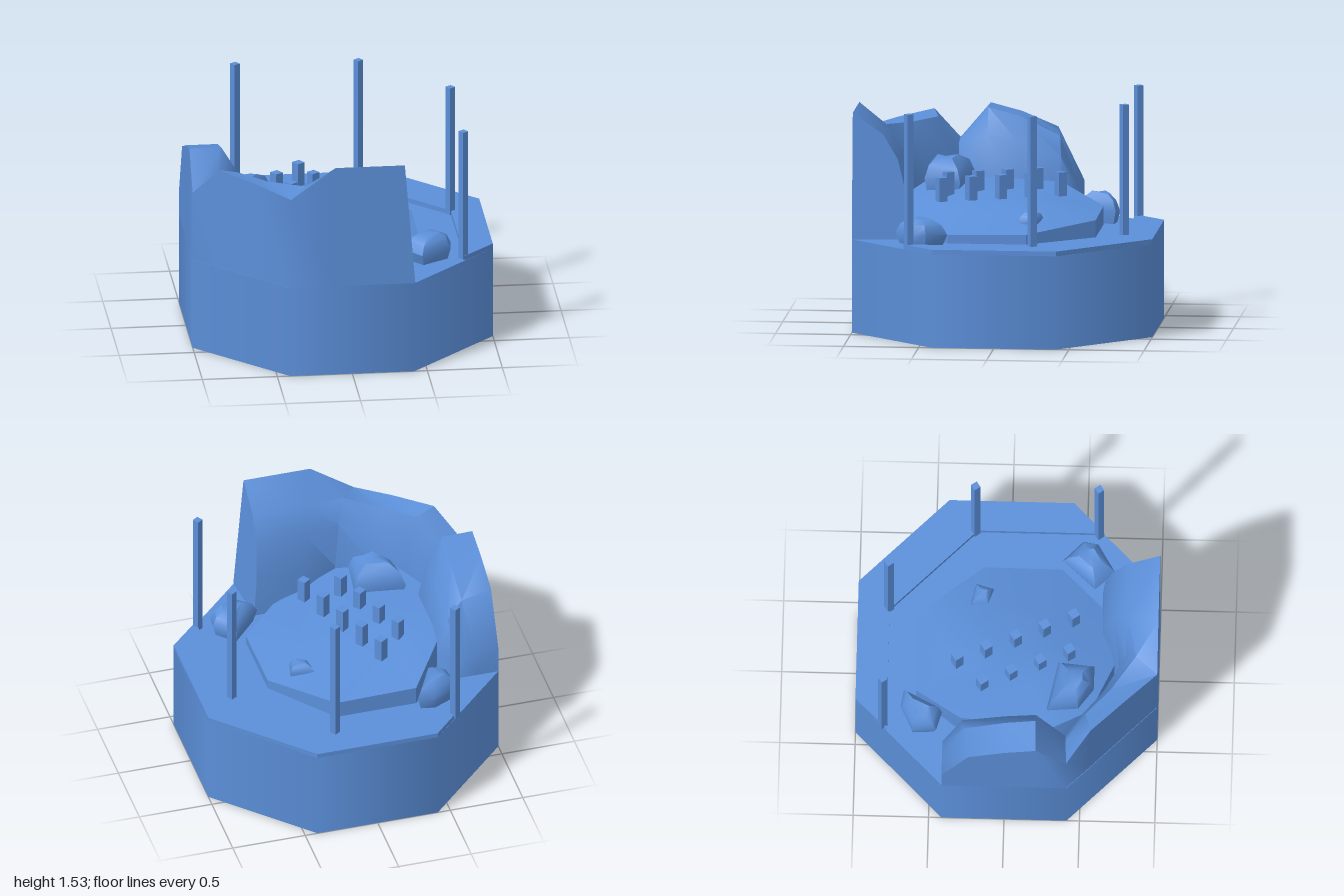
import * as THREE from 'three';
import { toCreasedNormals } from 'three/addons/utils/BufferGeometryUtils.js';

const FLOOR = 0.625;
const material = new THREE.MeshStandardMaterial({ color: 0x5b8fd9, side: THREE.DoubleSide });

function part(geometry, name, parent) {
  const mesh = new THREE.Mesh(geometry, material);
  mesh.name = name;
  parent.add(mesh);
  return mesh;
}

// Skin a surface over rows of points; closed joins the last point of a row to its first.
function loft(rows, closed, crease) {
  const n = rows[0].length, pos = [];
  const tri = (a, b, c) => {
    if (a.distanceTo(b) > 1e-6 && b.distanceTo(c) > 1e-6 && c.distanceTo(a) > 1e-6) {
      for (const p of [a, b, c]) pos.push(p.x, p.y, p.z);
    }
  };
  for (let i = 0; i < rows.length - 1; i++) {
    for (let j = 0; j < (closed ? n : n - 1); j++) {
      const k = (j + 1) % n;
      const a = rows[i][j], b = rows[i][k], c = rows[i + 1][k], d = rows[i + 1][j];
      tri(a, b, c);
      tri(a, c, d);
    }
  }
  const g = new THREE.BufferGeometry();
  g.setAttribute('position', new THREE.Float32BufferAttribute(pos, 3));
  return toCreasedNormals(g, crease);
}

const centre = (pts) => pts.reduce((s, p) => s.add(p), new THREE.Vector3()).divideScalar(pts.length);
const collapse = (pts, p) => pts.map(() => p.clone());

// Cliff: each station has outer x, z, crest height, foot x, z, shoulder level and sideways lean
function cliffGeometry() {
  const stations = [
    [0.42, 1, 1.465, 0.385, 0.62, 0.83, -0.07],
    [-0.11, 1, 1.465, 0.05, 0.62, 0.83, 0],
    [-0.41, 1, 1.25, -0.2, 0.73, 1.06, 0],
    [-0.62, 0.79, 1.29, -0.45, 0.61, 0.97, 0],
    [-0.84, 0.57, 1.315, -0.6, 0.5, 0.95, 0],
    [-1, 0.41, 1.1, -0.7, 0.4, 1, 0],
    [-1, 0.21, 1.335, -0.6, 0.2, 1, 0],
    [-1, 0, 1.28, -0.6, 0, 1, 0],
    [-1, -0.24, 1.18, -0.6, -0.3, 0.95, 0],
    [-1, -0.415, 0.82, -0.7, -0.415, 0.95, 0],
  ];
  const rows = stations.map(([ox, oz, h, fx, fz, shoulder, lean]) =>
    [[0, 0], [0, 1], [0.53, shoulder], [0.79, shoulder * 0.76], [0.96, 0.32], [1, 0]].map(([t, v]) =>
      new THREE.Vector3(ox + (fx - ox) * t + lean * v, FLOOR + (h - FLOOR) * v, oz + (fz - oz) * t)));
  const end = (r) => collapse(r, r[0].clone().lerp(r[r.length - 1], 0.5));
  return loft([end(rows[0]), ...rows, end(rows[rows.length - 1])], false, 0.8);
}

// Rock: a footprint outline bulging out, then drawing in to a blunt crown
function rockGeometry(outline, bottom, top) {
  const foot = outline.map(([x, z]) => new THREE.Vector3(x, 0, z));
  const mid = centre(foot);
  const rows = [[0, 0.85], [0.4, 1], [0.75, 0.8], [0.95, 0.42]].map(([v, s], i) =>
    foot.map((p, j) => {
      const q = mid.clone().lerp(p, s);
      q.y = bottom + (top - bottom) * (v + (i ? 0.05 * Math.sin(j * 2.3 + i) : 0));
      return q;
    }));
  const last = rows[rows.length - 1];
  return loft([...rows, collapse(last, centre(last))], true, 0.7);
}

export function createModel() {
  const model = new THREE.Group();
  model.name = 'cliffArena';

  // Octagonal base, flat sides facing the axes
  const base = new THREE.CylinderGeometry(1.0824, 1.0824, FLOOR, 8);
  base.rotateY(Math.PI / 8);
  base.translate(0, FLOOR / 2, 0);
  part(base, 'base', model);

  // Raised ledge along the back and left edges
  const ledge = new THREE.Shape([
    [-0.62, -0.79], [0.22, -0.79], [0.79, -0.22], [0.79, 0.62],
    [1, 0.414], [1, -0.414], [0.414, -1], [-0.414, -1],
  ].map(([x, z]) => new THREE.Vector2(x, -z)));
  const ledgeGeometry = new THREE.ExtrudeGeometry(ledge, { depth: 0.032, bevelEnabled: false });
  ledgeGeometry.rotateX(-Math.PI / 2);
  ledgeGeometry.translate(0, FLOOR, 0);
  part(ledgeGeometry, 'ledge', model);

  part(cliffGeometry(), 'cliff', model);

  // Low plateau rising towards the cliff
  const rim = [
    [0.52, 0.68, 0.35], [0.52, 0.69, -0.17], [0.17, 0.74, -0.6], [-0.38, 0.75, -0.6], [-0.61, 0.87, -0.3],
    [-0.68, 0.9, 0.3], [-0.55, 0.9, 0.56], [-0.2, 0.83, 0.71], [0.26, 0.7, 0.61],
  ].map((p) => new THREE.Vector3(...p));
  const ground = rim.map((p) => new THREE.Vector3(p.x, FLOOR, p.z));
  const crown = new THREE.Vector3(-0.08, 0.845, 0.05);
  const inner = rim.map((p) => p.clone().lerp(crown, 0.5).add(new THREE.Vector3(0, 0.015, 0)));
  part(loft([ground, rim, inner, collapse(rim, crown)], true, 0.6), 'plateau', model);

  // Scattered rocks
  const rocks = [
    [[[0.38, 0.57], [0.5, 0.7], [0.7, 0.58], [0.71, 0.48], [0.58, 0.35]], FLOOR, 0.81],
    [[[-0.56, 0.27], [-0.54, 0.48], [-0.4, 0.58], [-0.25, 0.58], [-0.22, 0.34]], 0.82, 1.08],
    [[[-0.65, -0.62], [-0.64, -0.46], [-0.5, -0.42], [-0.37, -0.68], [-0.48, -0.7]], FLOOR, 0.83],
    [[[0.22, -0.26], [0.23, -0.13], [0.35, -0.1], [0.38, -0.22]], 0.7, 0.81],
  ];
  rocks.forEach(([outline, bottom, top]) => part(rockGeometry(outline, bottom, top), 'rock', model));

  // Tall posts on the ledge
  const post = new THREE.BoxGeometry(0.046, 0.9, 0.046);
  for (const [x, z] of [[-0.585, -0.815], [0.235, -0.795], [0.787, -0.235], [0.785, 0.585]]) {
    const mesh = part(post, 'post', model);
    mesh.position.set(x, 1.08, z);
    mesh.rotation.y = 0.6;
  }

  // Two staggered lines of short blocks on the plateau
  const block = new THREE.BoxGeometry(0.06, 0.16, 0.06);
  const addBlock = (x, z) => {
    const mesh = part(block, 'block', model);
    mesh.position.set(x, 0.92, z);
    mesh.rotation.y = 0.6;
  };
  for (let i = 0; i < 5; i++) addBlock(-0.215 + i * 0.078, -0.33 + i * 0.191);
  for (let i = 0; i < 4; i++) addBlock(-0.38 + i * 0.077, -0.16 + i * 0.19);

  return model;
}
